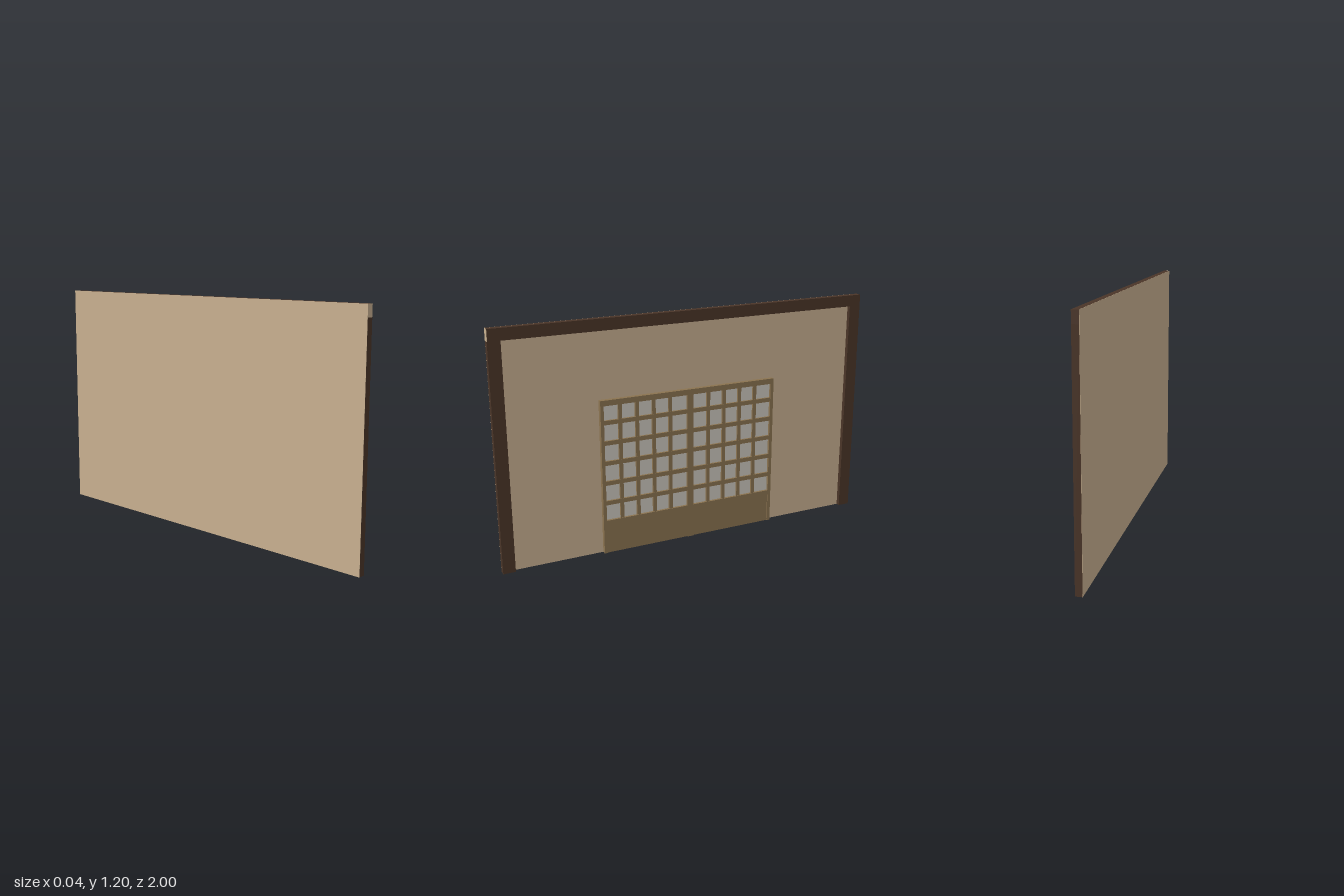
import * as THREE from 'three';

const material = (color) => new THREE.MeshStandardMaterial({ color });

export function createModel() {
  const model = new THREE.Group();
  model.name = 'wallWithSlidingDoors';
  const timber = material(0x4a3528);
  const plaster = material(0xc8b090);
  const wood = material(0x8b7350);
  const paper = material(0xccc8bf);

  // Box given by its limits along x (depth), y and z
  function slab(parent, name, mat, [x0, x1], [y0, y1], [z0, z1]) {
    const mesh = new THREE.Mesh(new THREE.BoxGeometry(x1 - x0, y1 - y0, z1 - z0), mat);
    mesh.position.set((x0 + x1) / 2, (y0 + y1) / 2, (z0 + z1) / 2);
    mesh.name = name;
    parent.add(mesh);
    return mesh;
  }

  const back = -0.018, wallFront = -0.006, frameFront = 0.015;

  // Plaster wall, with a thin skin covering the whole back
  slab(model, 'plasterWall', plaster, [back, wallFront], [0, 1.142], [-0.938, 0.938]);
  slab(model, 'backSkin', plaster, [back - 0.001, back], [0, 1.2], [-1, 1]);

  // Dark timber frame: two posts and a lintel with a pale end
  slab(model, 'leftEndPost', timber, [back, frameFront], [0, 1.142], [0.938, 1]);
  slab(model, 'rightEndPost', timber, [back, frameFront], [0, 1.142], [-1, -0.938]);
  slab(model, 'lintel', timber, [back, frameFront], [1.142, 1.2], [-1, 0.998]);
  slab(model, 'lintelEndCap', plaster, [back, frameFront], [1.142, 1.2], [0.998, 1]);

  // One sliding door leaf, spanning z = 0 to 0.48
  function doorLeaf(name) {
    const leaf = new THREE.Group();
    leaf.name = name;
    const width = 0.48, height = 0.802, stile = 0.017;
    const frame = [wallFront, 0.017], bars = [0.004, 0.014];
    const inside = [stile, width - stile];

    slab(leaf, 'innerStile', wood, frame, [0, height], [0, stile]);
    slab(leaf, 'outerStile', wood, frame, [0, height], [width - stile, width]);
    slab(leaf, 'topRail', wood, frame, [0.774, height], inside);
    slab(leaf, 'middleRail', wood, frame, [0.152, 0.177], inside);
    slab(leaf, 'lowerPanel', wood, [wallFront, 0.012], [0, 0.152], inside);
    slab(leaf, 'paperScreen', paper, [wallFront, 0.004], [0.177, 0.774], inside);

    // Lattice of four upright and five level bars
    for (let i = 0; i < 4; i++) {
      const z = 0.11 + i * 0.0893;
      slab(leaf, 'uprightBar', wood, bars, [0.177, 0.774], [z - 0.0095, z + 0.0095]);
    }
    for (let j = 0; j < 5; j++) {
      const y = 0.27 + j * 0.1045;
      slab(leaf, 'levelBar', wood, [0.004, 0.015], [y - 0.011, y + 0.011], inside);
    }
    return leaf;
  }

  const leftLeaf = doorLeaf('doorLeafA');
  const rightLeaf = doorLeaf('doorLeafB');
  rightLeaf.position.z = -0.48; // the leaf is symmetric, so a shift mirrors it
  model.add(leftLeaf, rightLeaf);

  return model;
}
